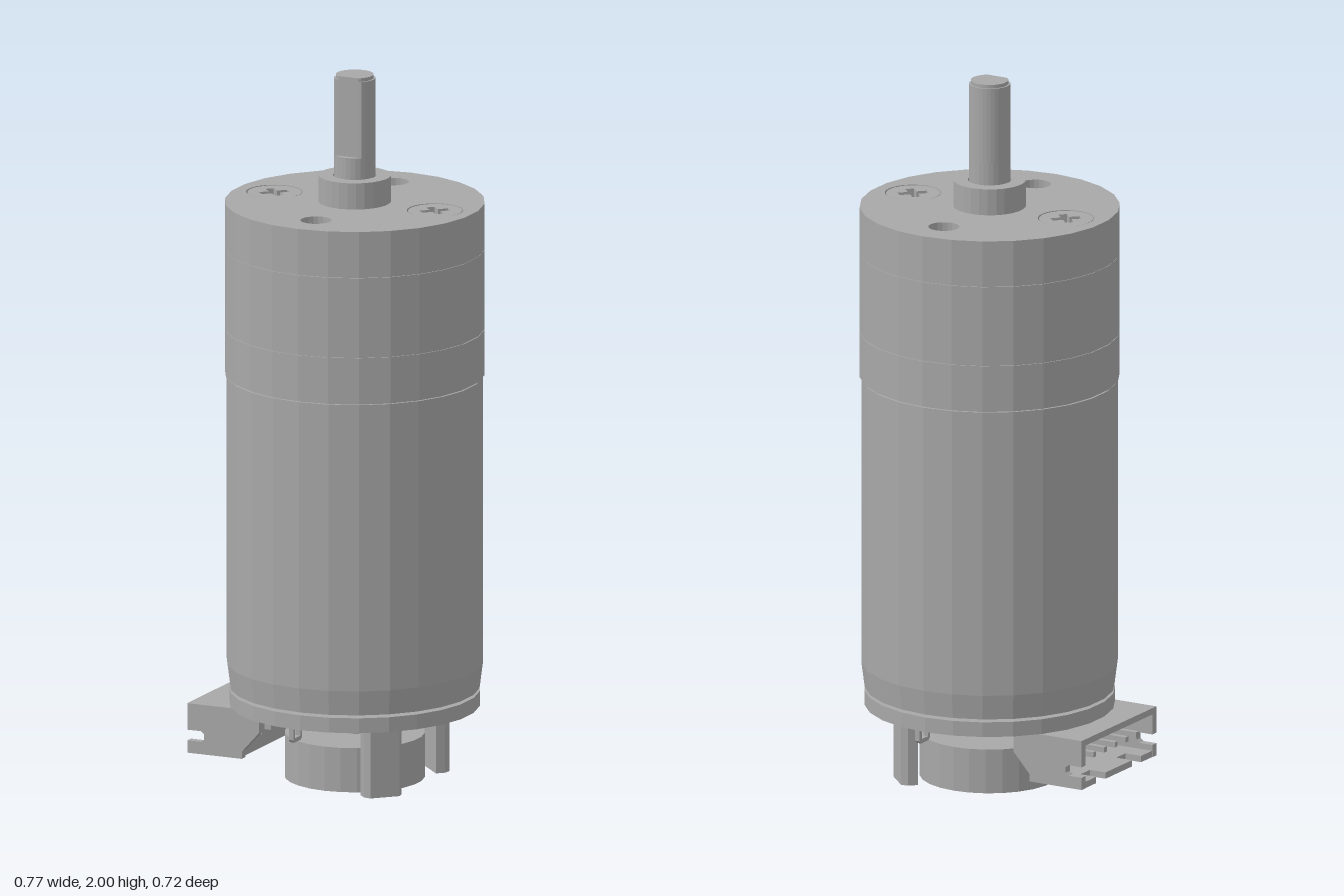
import * as THREE from 'three';

const AX = 0.028; // x of the motor axis
const SIDES = 26;

export function createModel() {
  const model = new THREE.Group();
  model.name = 'gearMotor';
  const metal = new THREE.MeshStandardMaterial({ color: 0xa8a8a8 });
  metal.name = 'grey metal';

  // Adds a mesh with faceted normals
  function add(name, geometry, x = 0, y = 0, z = 0, parent = model) {
    const flat = geometry.index ? geometry.toNonIndexed() : geometry;
    flat.computeVertexNormals();
    const mesh = new THREE.Mesh(flat, metal);
    mesh.name = name;
    mesh.position.set(x, y, z);
    parent.add(mesh);
    return mesh;
  }
  // Cylinder between two heights, with separate top and bottom radii
  function cyl(name, y0, y1, rTop, rBottom = rTop, x = AX, z = 0, sides = SIDES) {
    return add(name, new THREE.CylinderGeometry(rTop, rBottom, y1 - y0, sides), x, (y0 + y1) / 2, z);
  }
  const box = (name, w, h, d, x, y, z, parent) =>
    add(name, new THREE.BoxGeometry(w, h, d), x, y, z, parent);
  // Points of a polygon with a corner on the second axis
  const ring = (r, n = SIDES, cx = 0, cy = 0) => Array.from({ length: n }, (_, i) => {
    const a = Math.PI / 2 + (i / n) * Math.PI * 2;
    return new THREE.Vector2(cx + r * Math.cos(a), cy + r * Math.sin(a));
  });
  const pts = (list) => list.map(([x, y]) => new THREE.Vector2(x, y));
  // Plan outline (x, -z) raised along y
  function raise(outline, holes, height) {
    const shape = new THREE.Shape(outline);
    holes.forEach((h) => shape.holes.push(new THREE.Path(h)));
    return new THREE.ExtrudeGeometry(shape, { depth: height, bevelEnabled: false }).rotateX(-Math.PI / 2);
  }
  // Side outline (x, y) extruded along z and centred
  function sideways(outline, holes, depth) {
    const shape = new THREE.Shape(outline);
    holes.forEach((h) => shape.holes.push(new THREE.Path(h)));
    return new THREE.ExtrudeGeometry(shape, { depth, bevelEnabled: false }).translate(0, 0, -depth / 2);
  }

  // Motor can with tapered lower rim
  cyl('motorCan', 0.34, 1.15, 0.353);
  cyl('motorCanTaper', 0.27, 0.34, 0.353, 0.344);
  cyl('canGroove', 1.148, 1.158, 0.346);
  cyl('rearBoss', 0.255, 0.272, 0.088);

  // Gearbox rings
  cyl('gearboxBase', 1.156, 1.284, 0.358);
  cyl('ringSeam', 1.28, 1.29, 0.355);
  cyl('gearboxRing', 1.286, 1.51, 0.358);

  // Face plate with mounting and screw holes
  const SCREW = 0.245;
  add('facePlate', raise(ring(0.358), [
    ring(0.043, 20, 0, SCREW), ring(0.043, 20, 0, -SCREW),
    ring(0.078, 28, SCREW, 0), ring(0.078, 28, -SCREW, 0),
  ], 0.13), AX, 1.511, 0);

  // Screws with a cross recess
  const a = 0.012, b = 0.041;
  const cross = pts([[a, a], [a, b], [-a, b], [-a, a], [-b, a], [-b, -a],
    [-a, -a], [-a, -b], [a, -b], [a, -a], [b, -a], [b, a]])
    .map((p) => p.rotateAround(new THREE.Vector2(), Math.PI / 4));
  for (const s of [-1, 1]) {
    const x = AX + s * SCREW;
    add('screwHead', raise(ring(0.0745, 28), [cross], 0.035), x, 1.605, 0);
    cyl('screwBody', 1.512, 1.606, 0.0745, 0.05, x, 0, 28);
  }

  // Bearing boss and D-cut output shaft
  add('bearingBoss', raise(ring(0.1), [ring(0.06)], 0.074), AX, 1.641, 0);
  cyl('shaftBase', 1.64, 1.775, 0.057);
  const dCut = (r) => ring(r, 32).map((p) => new THREE.Vector2(p.x, Math.max(p.y, -0.041)));
  add('outputShaft', raise(dCut(0.057), [], 0.215), AX, 1.775, 0);
  add('shaftTip', raise(dCut(0.052), [], 0.01), AX, 1.99, 0);

  // Encoder board, rear shaft and magnet wheel
  cyl('encoderBoard', 0.22, 0.262, 0.345);
  cyl('rearShaft', 0, 0.26, 0.026, 0.026, AX, 0, 16);
  add('magnetWheel', raise(ring(0.193), [ring(0.029, 16)], 0.125), AX, 0.015, 0);

  // Two upright sensors facing the magnet wheel
  const sensorPlan = pts([[-0.022, -0.055], [0.005, -0.055], [0.022, -0.042],
    [0.022, 0.042], [0.005, 0.055], [-0.022, 0.055]]);
  for (const s of [-1, 1]) {
    const sensor = add('sensor', raise(sensorPlan, [], 0.205), 0.195, 0.015, s * 0.173);
    sensor.rotation.y = -s * Math.PI / 4;
  }

  // Motor terminals, small looped tabs under the board
  const tab = pts([[-0.028, 0.05], [-0.028, 0.008], [-0.02, 0], [0.02, 0], [0.028, 0.008], [0.028, 0.05]]);
  const eye = pts([[-0.016, 0.012], [0.016, 0.012], [0.016, 0.046], [-0.016, 0.046]]);
  for (const s of [-1, 1]) {
    const terminal = add('terminal', sideways(tab, [eye], 0.014), AX - s * 0.042, 0.173, s * 0.288);
    terminal.rotation.y = Math.PI / 2;
  }

  // Side-entry connector: walls, roof, back, floor and pins
  const connector = new THREE.Group();
  connector.name = 'connector';
  model.add(connector);
  const wall = pts([[-0.386, 0.22], [-0.386, 0.145], [-0.345, 0.145], [-0.335, 0.138], [-0.335, 0.122],
    [-0.345, 0.115], [-0.386, 0.115], [-0.386, 0.08], [-0.22, 0.08], [-0.22, 0.1], [-0.168, 0.158], [-0.168, 0.22]]);
  for (const s of [-1, 1]) add('connectorWall', sideways(wall, [], 0.022), 0, 0, s * 0.189, connector);
  box('connectorRoof', 0.218, 0.018, 0.36, -0.277, 0.211, 0, connector);
  box('connectorBack', 0.035, 0.12, 0.36, -0.238, 0.145, 0, connector);
  // Floor with notched front edge
  box('connectorFloor', 0.1, 0.018, 0.36, -0.285, 0.089, 0, connector);
  for (const z of [-0.15, 0, 0.15]) {
    box('floorFinger', 0.05, 0.018, z ? 0.06 : 0.14, -0.36, 0.089, z, connector);
  }
  // Bent pins running from the housing to the board
  for (let i = 0; i < 6; i++) {
    const z = (i - 2.5) * 0.0572;
    box('pin', 0.17, 0.015, 0.015, -0.275, 0.15, z, connector);
    box('pinLeg', 0.015, 0.08, 0.015, -0.19, 0.1825, z, connector);
  }
  return model;
}
